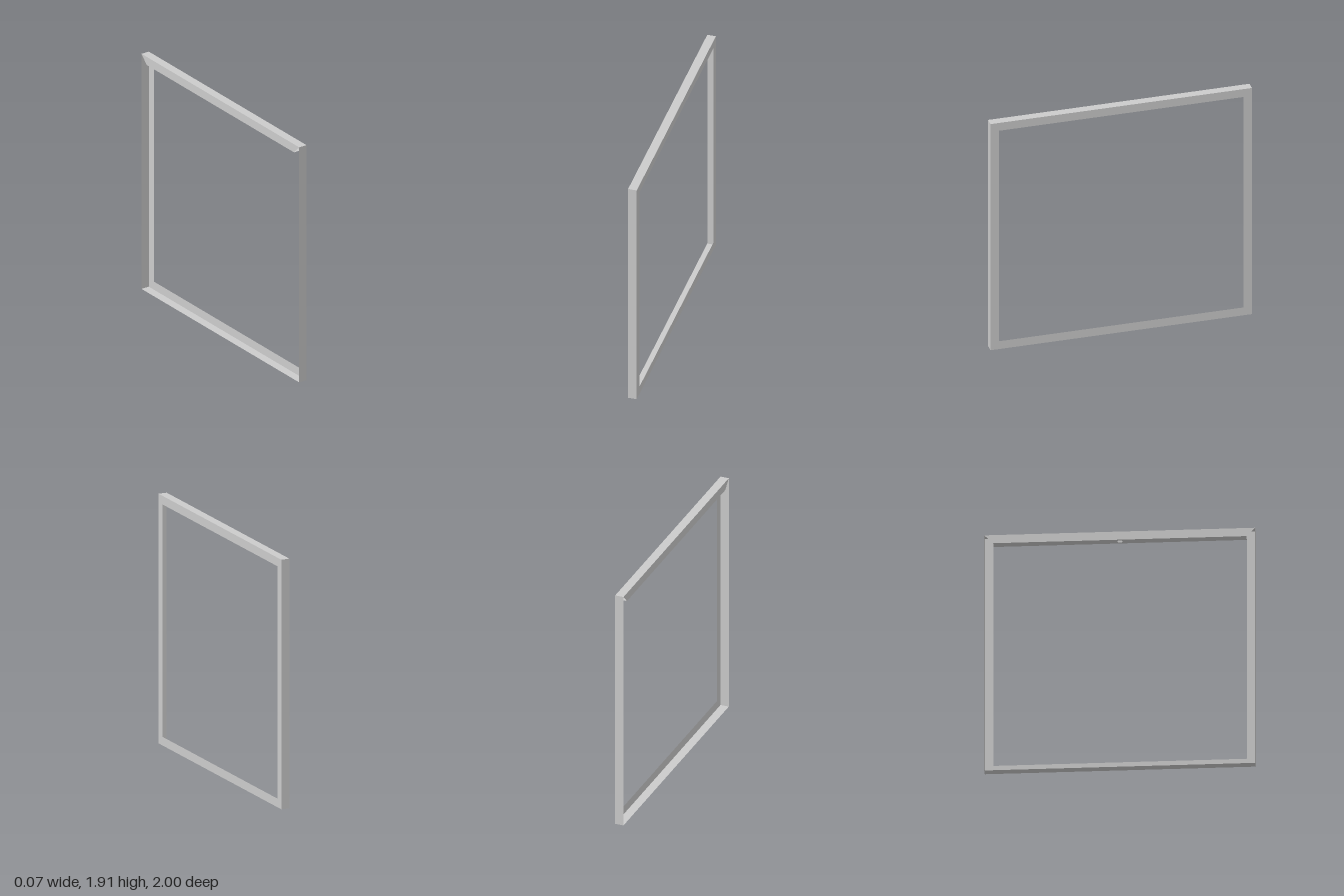
import * as THREE from 'three';

const H = 1.91;      // frame height
const L = 1;         // half length along z
const W = 0.033;     // half depth along x
const T = 0.066;     // face width of every bar

const material = new THREE.MeshStandardMaterial({
  color: 0xcccccc, flatShading: true, side: THREE.DoubleSide,
});

// Corner of the frame, moved inward by an inset
function corner(i, inset) {
  const z = (i % 4 === 1 || i % 4 === 2) ? L - inset : -L + inset;
  const y = i % 4 < 2 ? inset : H - inset;
  return { y, z };
}

// Sheet bar with mitred ends; profile is a list of [x, inset] points
function sheetBar(name, i, profile) {
  const pos = [];
  for (let k = 0; k < profile.length - 1; k++) {
    const [p, q] = [profile[k], profile[k + 1]];
    const point = ([x, d], c) => {
      const { y, z } = corner(c, d);
      return [x, y, z];
    };
    const a = point(p, i), b = point(q, i), c = point(q, i + 1), d = point(p, i + 1);
    pos.push(...a, ...b, ...c, ...a, ...c, ...d);
  }
  const geo = new THREE.BufferGeometry();
  geo.setAttribute('position', new THREE.Float32BufferAttribute(pos, 3));
  geo.computeVertexNormals();
  const mesh = new THREE.Mesh(geo, material);
  mesh.name = name;
  return mesh;
}

export function createModel() {
  const frame = new THREE.Group();
  frame.name = 'frame';

  // Angle-section bars: outer wall plus a flange on the +x side
  const angle = [[-W, 0], [W, 0], [W, T]];
  frame.add(sheetBar('bottomRail', 0, angle));
  frame.add(sheetBar('frontPost', 1, angle));
  frame.add(sheetBar('backPost', 3, angle));

  // Top rail: box section, its underside made separately
  const topRail = new THREE.Group();
  topRail.name = 'topRail';
  topRail.add(sheetBar('topRailShell', 2, [[-W, T], [-W, 0], [W, 0], [W, T]]));

  // Underside with a small hole in the middle
  const e = L - T;
  const shape = new THREE.Shape([
    new THREE.Vector2(-W, -e), new THREE.Vector2(W, -e),
    new THREE.Vector2(W, e), new THREE.Vector2(-W, e),
  ]);
  shape.holes.push(new THREE.Path().absarc(0, 0, 0.02, 0, Math.PI * 2, true));
  const under = new THREE.Mesh(new THREE.ShapeGeometry(shape, 8).rotateX(Math.PI / 2), material);
  under.name = 'topRailUnderside';
  under.position.y = H - T;
  topRail.add(under);
  frame.add(topRail);

  return frame;
}
